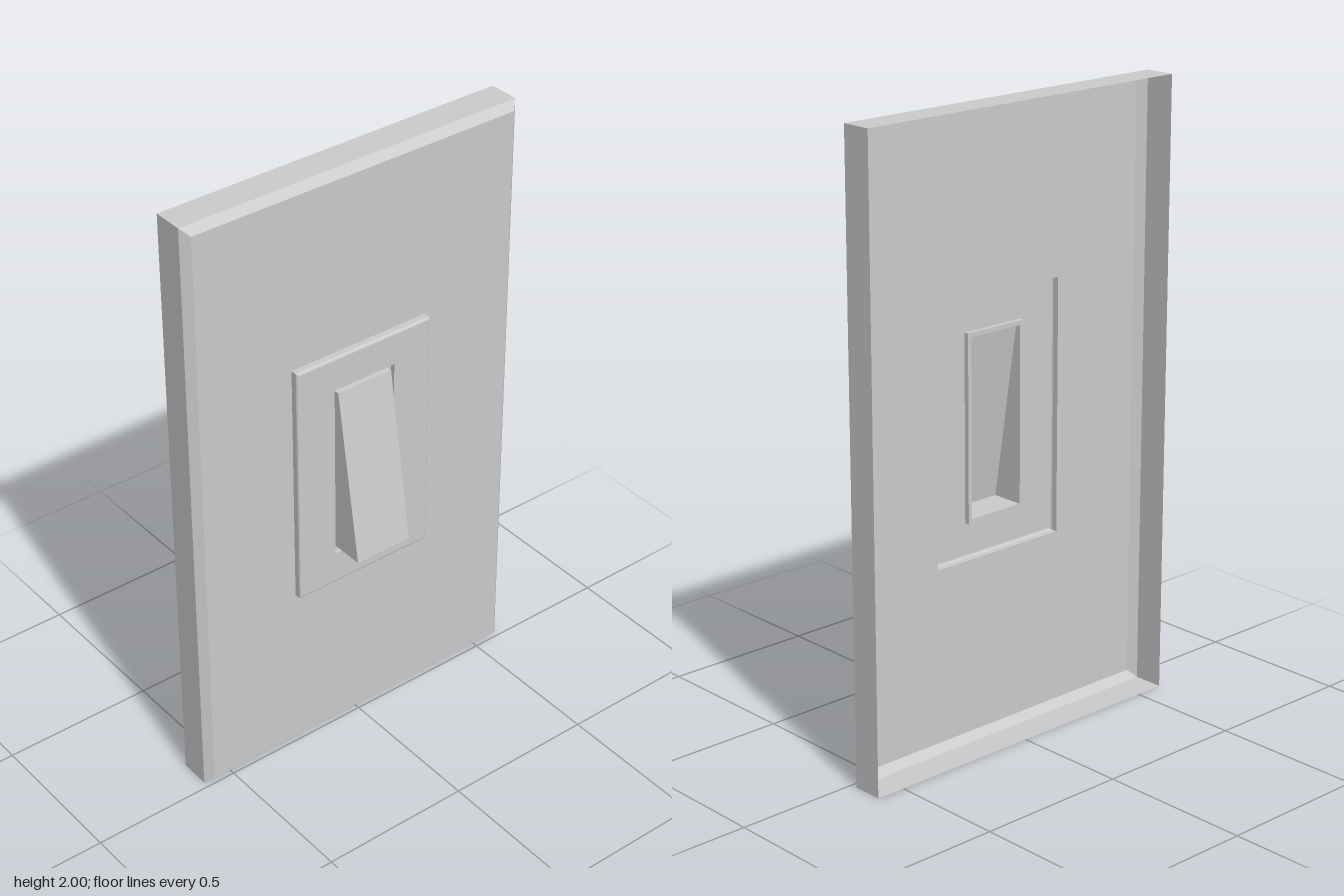
import * as THREE from 'three';

const material = new THREE.MeshStandardMaterial({ color: 0xcccccc, flatShading: true, side: THREE.DoubleSide });

// Thin shell through rectangular loops [halfWidth, halfHeight, zBottom, zTop = zBottom], centred on y = 1
function shell(name, loops, capped = false) {
  const corners = loops.map(([w, h, zBottom, zTop = zBottom]) => [
    [-w, 1 - h, zBottom], [w, 1 - h, zBottom], [w, 1 + h, zTop], [-w, 1 + h, zTop],
  ]);
  const positions = [];
  const quad = (a, b, c, d) => positions.push(...a, ...b, ...c, ...a, ...c, ...d);
  for (let k = 0; k < corners.length - 1; k++) {
    for (let i = 0; i < 4; i++) {
      const j = (i + 1) % 4;
      quad(corners[k][i], corners[k][j], corners[k + 1][j], corners[k + 1][i]);
    }
  }
  if (capped) quad(...corners[corners.length - 1]);
  const geometry = new THREE.BufferGeometry();
  geometry.setAttribute('position', new THREE.Float32BufferAttribute(positions, 3));
  geometry.computeVertexNormals();
  const mesh = new THREE.Mesh(geometry, material);
  mesh.name = name;
  return mesh;
}

export function createModel() {
  const group = new THREE.Group();
  group.name = 'wallSwitch';

  // Open-backed cover plate: side walls, bevel, front face with a central opening
  group.add(shell('coverPlate', [
    [0.597, 1, -0.122],
    [0.597, 1, -0.022],
    [0.573, 0.976, 0.002],
    [0.247, 0.41, 0.002],
  ]));

  // Raised bezel with a rounded outer edge and a shallow recess around the rocker
  const radius = 0.008, front = 0.028;
  const bezel = [[0.247, 0.41, 0.002]];
  for (let i = 0; i <= 4; i++) {
    const a = (i / 4) * Math.PI / 2;
    const inset = radius * (1 - Math.cos(a));
    bezel.push([0.247 - inset, 0.41 - inset, front - radius + radius * Math.sin(a)]);
  }
  bezel.push([0.112, 0.3, front], [0.112, 0.3, 0.012], [0.099, 0.285, 0.012]);
  group.add(shell('bezel', bezel));

  // Hollow wedge-shaped rocker, tipped out at the bottom
  group.add(shell('rocker', [
    [0.099, 0.285, 0.012],
    [0.099, 0.285, 0.122, 0.029],
  ], true));

  return group;
}
